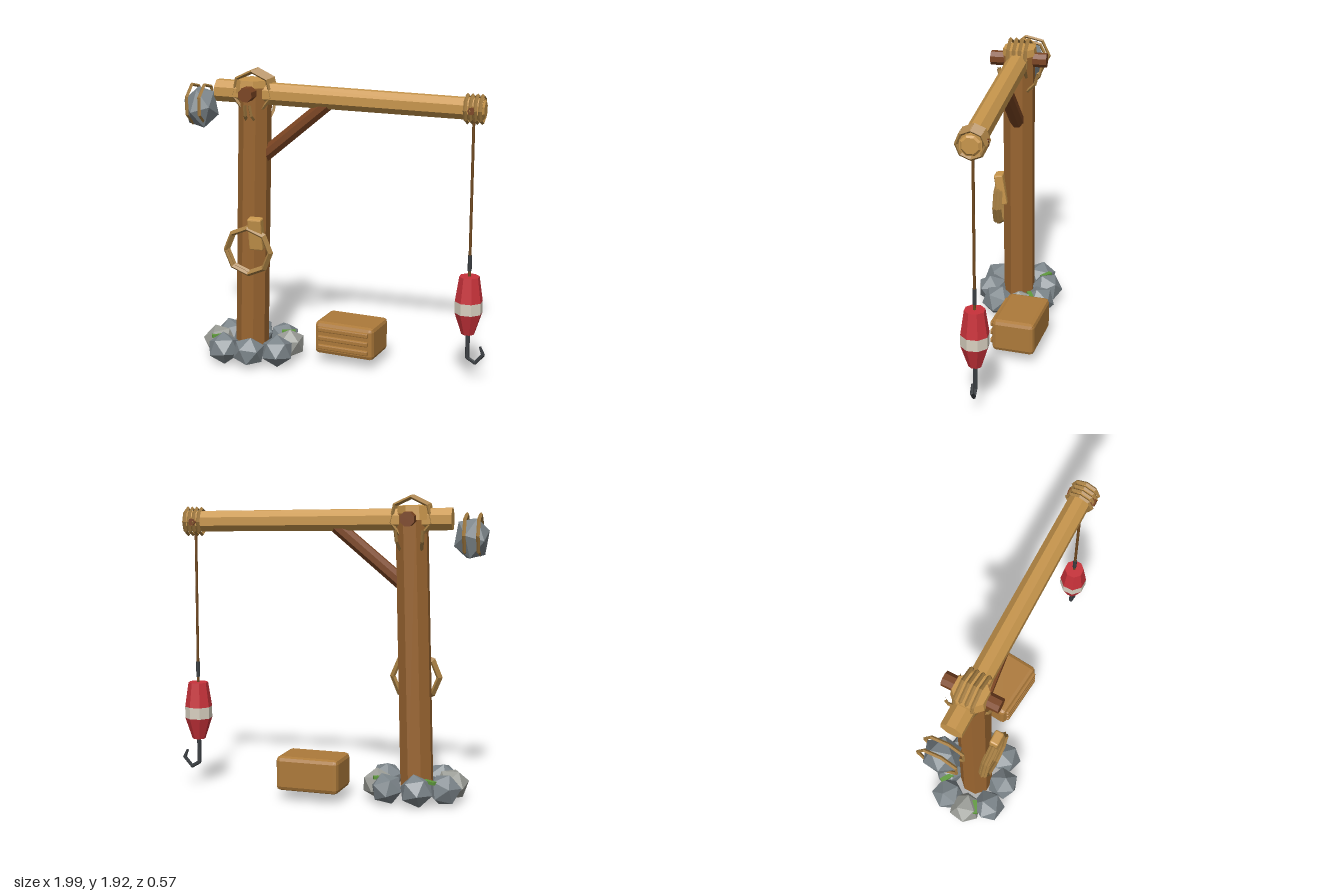
import * as THREE from 'three';
import { RoundedBoxGeometry } from 'three/addons/geometries/RoundedBoxGeometry.js';

const mat = (color) => new THREE.MeshStandardMaterial({ color, flatShading: true });
const WOOD = mat(0x9a6530), PALE = mat(0xc8964c), DARK = mat(0x7c4522), ROPE = mat(0xa67e42);
const CORD = mat(0x70491f), IRON = mat(0x3a3e42), RED = mat(0xc8323a), WHITE = mat(0xd8d0c0);
const STONE = mat(0x7c858a), STONE2 = mat(0x9a9c96), MOSS = mat(0x5f9a3c), CRATE = mat(0xad7a3a);
const V = (x, y, z = 0) => new THREE.Vector3(x, y, z);

export function createModel() {
  const root = new THREE.Group();

  const add = (name, geo, material, x = 0, y = 0, z = 0, parent = root) => {
    const m = new THREE.Mesh(geo, material);
    m.name = name;
    m.position.set(x, y, z);
    parent.add(m);
    return m;
  };
  // Faceted pole running from a to b
  const pole = (name, a, b, r0, r1, material, sides = 8) => {
    const g = new THREE.CylinderGeometry(r1, r0, a.distanceTo(b), sides);
    g.rotateY(Math.PI / sides);
    const m = add(name, g, material);
    m.position.copy(a).add(b).multiplyScalar(0.5);
    m.quaternion.setFromUnitVectors(V(0, 1), b.clone().sub(a).normalize());
    return m;
  };
  // Angular rope loop; axis is the direction it wraps around
  const loop = (name, r, tube, axis, x, y, z, sides = 8, arc = Math.PI * 2) => {
    const m = add(name, new THREE.TorusGeometry(r, tube, 4, sides, arc), ROPE, x, y, z);
    if (axis === 'x') m.rotation.y = Math.PI / 2;
    return m;
  };
  // Irregular stone
  const stone = (name, r, x, y, z, seed, material, sx = 1, sy = 1, sz = 1) => {
    const m = add(name, new THREE.IcosahedronGeometry(r, 0), material, x, y, z);
    m.geometry.rotateX(seed * 1.7).rotateY(seed * 2.3).rotateZ(seed * 0.9);
    m.scale.set(sx, sy, sz);
    return m;
  };

  // Post, beam, brace and cross peg
  pole('post', V(-0.565, 0.07), V(-0.515, 1.82), 0.107, 0.104, WOOD);
  pole('postCap', V(-0.535, 1.78), V(-0.533, 1.865), 0.118, 0.108, PALE);
  pole('beam', V(-0.77, 1.785), V(0.945, 1.75), 0.073, 0.069, PALE);
  pole('beamTip', V(0.94, 1.75), V(0.957, 1.75), 0.069, 0.05, PALE);
  pole('brace', V(-0.5, 1.35), V(-0.02, 1.75), 0.048, 0.046, DARK);
  pole('crossPeg', V(-0.515, 1.79, -0.182), V(-0.515, 1.79, 0.182), 0.047, 0.047, DARK);

  // Lashings over the joint
  for (const z of [-0.057, -0.02, 0.018, 0.056]) loop('jointLashing', 0.13, 0.012, 'z', -0.518, 1.79, z, 7).rotation.z = Math.PI / 2;
  for (const s of [-1, 1]) {
    const l = loop('jointSideLashing', 0.14, 0.011, 'x', -0.52 + s * 0.05, 1.72, 0, 6, Math.PI);
    l.rotation.set(Math.PI, Math.PI / 2 + s * 0.25, 0);
  }

  // Lashings at the beam end, with the pin that holds the line
  for (const x of [0.845, 0.876, 0.906, 0.936]) loop('tipLashing', 0.083, 0.012, 'x', x, 1.75, 0);
  pole('linePin', V(0.885, 1.75, -0.09), V(0.885, 1.75, 0.09), 0.024, 0.024, DARK, 6);

  // Counterweight stone in two rope loops
  stone('counterweight', 0.135, -0.888, 1.668, 0, 1, STONE, 0.86, 1.08, 0.86);
  for (const x of [-0.938, -0.853]) loop('counterweightLoop', 0.129, 0.011, 'x', x, 1.69, 0, 7);

  // Hanging line, float and hook
  const hx = 0.885;
  pole('line', V(hx, 0.7), V(hx, 1.75), 0.009, 0.009, CORD, 6);
  pole('shackle', V(hx, 0.74), V(hx, 0.84), 0.013, 0.013, IRON, 6);
  pole('floatTop', V(hx, 0.545), V(hx, 0.705), 0.088, 0.064, RED);
  pole('floatBand', V(hx, 0.47), V(hx, 0.545), 0.088, 0.088, WHITE);
  pole('floatBottom', V(hx, 0.33), V(hx, 0.47), 0.042, 0.088, RED);
  const hook = [V(hx, 0.335), V(hx, 0.17), V(0.935, 0.14), V(0.985, 0.2), V(0.965, 0.25)];
  for (let i = 0; i < hook.length - 1; i++) {
    const r = i ? 0.012 : 0.014;
    pole('hook', hook[i], hook[i + 1], r, i === 3 ? 0.008 : r, IRON, 6);
    if (i) add('hookBend', new THREE.IcosahedronGeometry(0.013, 0), IRON, ...hook[i].toArray());
  }

  // Cleat with a coil of spare rope
  add('cleat', new RoundedBoxGeometry(0.093, 0.215, 0.06, 1, 0.01), PALE, -0.482, 0.89, 0.11).rotation.x = 0.16;
  [0.145, 0.157, 0.15].forEach((r, i) => loop('ropeCoil', r, 0.013, 'z', -0.533, 0.775, 0.106 + i * 0.018));

  // Crate with front slats
  const crate = new THREE.Group();
  crate.name = 'crate';
  crate.position.set(0.082, 0.185, -0.13);
  crate.rotation.y = -0.1;
  root.add(crate);
  add('crateBody', new RoundedBoxGeometry(0.41, 0.22, 0.28, 1, 0.028), CRATE, 0, 0, 0, crate);
  for (const y of [-0.055, 0.005, 0.065]) add('crateSlat', new RoundedBoxGeometry(0.35, 0.034, 0.03, 1, 0.008), CRATE, 0, y, 0.142, crate);

  // Ring of stones round the foot: x, z, radius
  const stones = [
    [-0.32, -0.05, 0.105], [-0.4, -0.17, 0.105], [-0.59, -0.19, 0.11], [-0.755, -0.12, 0.11],
    [-0.785, 0.03, 0.11], [-0.7, 0.165, 0.11], [-0.52, 0.18, 0.108], [-0.35, 0.11, 0.11],
  ];
  stones.forEach(([x, z, r], i) => stone('footStone', r, x, 0.11, z, i + 2, i % 4 === 0 ? STONE2 : STONE, 1, 0.95, 1));

  // Moss tufts between the stones
  for (const [x, z, a] of [[-0.35, -0.115, 0.4], [-0.765, 0.095, 0.5], [-0.67, -0.17, -0.6]])
    add('moss', new THREE.BoxGeometry(0.09, 0.02, 0.03), MOSS, x, 0.165, z).rotation.y = a;

  return root;
}
